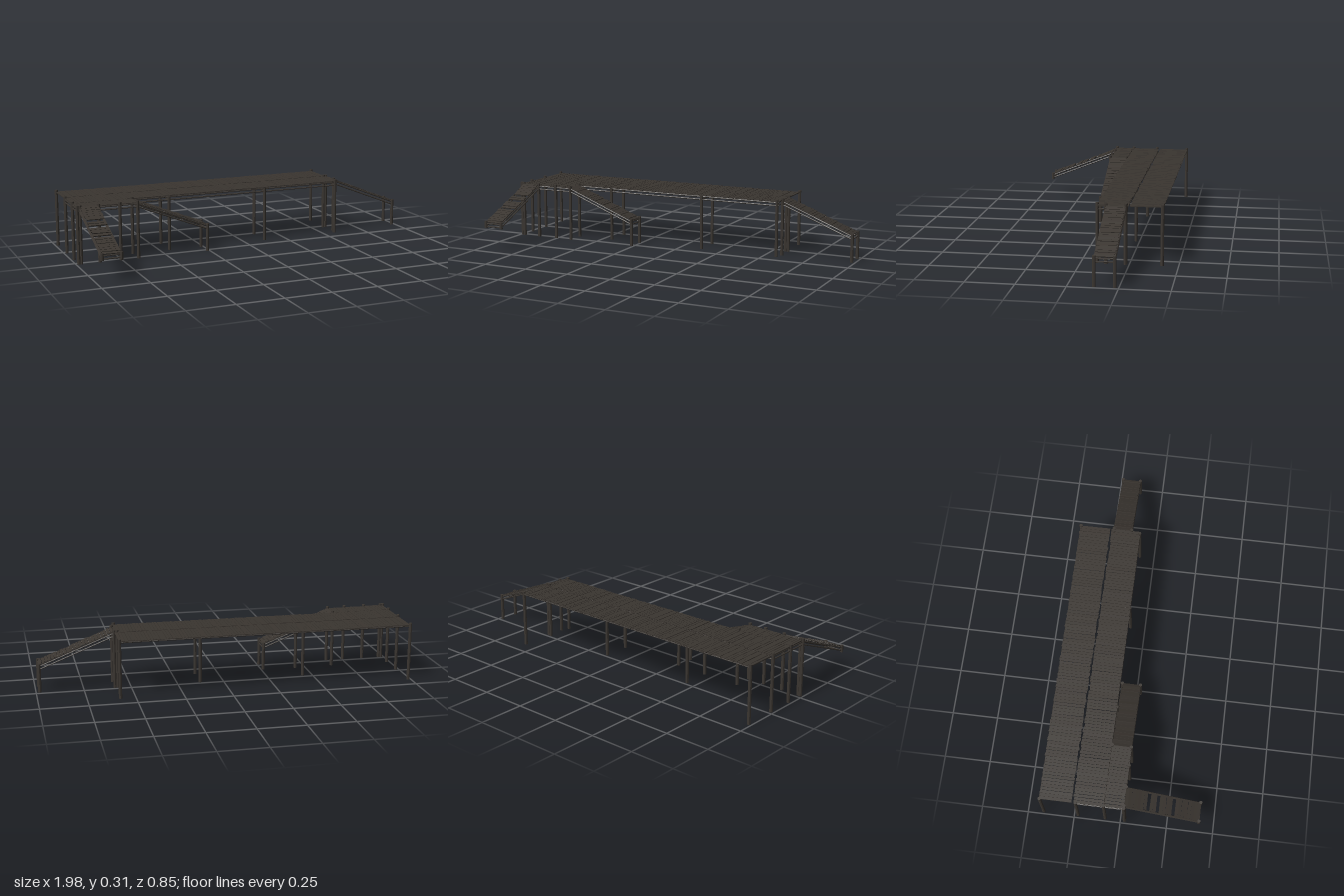
import * as THREE from 'three';

const wood = new THREE.MeshStandardMaterial({ color: 0x3a3530, flatShading: true });
const postGeo = new THREE.CylinderGeometry(0.009, 0.009, 1, 8);
const railGeo = new THREE.CylinderGeometry(0.004, 0.004, 1, 6);
const boxGeo = new THREE.BoxGeometry(1, 1, 1);
const UP = new THREE.Vector3(0, 1, 0);
const TOP = 0.315; // top of the tall posts

// Small seeded generator for the uneven boards
let seed = 7;
const rand = () => (seed = (seed * 16807) % 2147483647) / 2147483647;
const jitter = (a) => (rand() * 2 - 1) * a;

function post(group, name, x, z, y0 = 0, y1 = TOP) {
  const m = new THREE.Mesh(postGeo, wood);
  m.name = name;
  m.scale.y = y1 - y0;
  m.position.set(x, (y0 + y1) / 2, z);
  group.add(m);
}

// Round pole between two points
function rail(group, name, a, b) {
  const p = new THREE.Vector3(...a), q = new THREE.Vector3(...b);
  const m = new THREE.Mesh(railGeo, wood);
  m.name = name;
  m.scale.y = p.distanceTo(q);
  m.position.copy(p).lerp(q, 0.5);
  m.quaternion.setFromUnitVectors(UP, q.sub(p).normalize());
  group.add(m);
}

// An upper and a lower pole, one above the other
function doubleRail(group, name, a, b) {
  for (const dy of [0, -0.016]) {
    rail(group, name, [a[0], a[1] + dy, a[2]], [b[0], b[1] + dy, b[2]]);
  }
}

// Row of uneven boards along local x, lying across local z
function boards(length, width, pitch, rough, missing = 0) {
  const g = new THREE.Group();
  const n = Math.round(length / pitch);
  const step = length / n;
  for (let i = 0; i < n; i++) {
    if (rand() < missing) continue;
    const m = new THREE.Mesh(boxGeo, wood);
    m.name = 'board';
    m.scale.set(step * (0.9 + jitter(0.07)), 0.005, width + jitter(0.004));
    m.position.set((i + 0.5) * step, jitter(0.0008 + rough * 0.02), jitter(0.002));
    m.rotation.set(0, jitter(0.006 + rough * 0.3), jitter(rough));
    g.add(m);
  }
  return g;
}

function deck(name, x0, x1, z0, z1) {
  const g = boards(x1 - x0, z1 - z0, 0.0165, 0.01);
  g.name = name;
  g.position.set(x0, 0.303, (z0 + z1) / 2);
  return g;
}

// Sloping walkway running down local +x, centred on local z
function ramp(name, groundPosts, missing) {
  const g = new THREE.Group();
  g.name = name;
  const run = 0.395, y0 = 0.297, y1 = 0.14, half = 0.05;
  for (const z of [-half, half]) {
    doubleRail(g, 'rampRail', [0, y0, z], [run, y1, z]);
    post(g, 'rampTopPost', 0, z);
    post(g, 'rampEndPost', run, z, groundPosts ? 0 : 0.116, 0.154);
  }
  for (const dy of [0, -0.016]) {
    rail(g, 'rampEndRail', [run, y1 + dy, -half], [run, y1 + dy, half]);
    rail(g, 'rampTopRail', [0, y0 + dy, -half], [0, y0 + dy, half]);
  }
  const treads = boards(Math.hypot(run, y0 - y1), 0.098, 0.0175, 0.06, missing);
  treads.name = 'rampBoards';
  treads.position.y = y0 + 0.007;
  treads.rotation.z = -Math.atan2(y0 - y1, run);
  g.add(treads);
  return g;
}

export function createModel() {
  const model = new THREE.Group();
  model.name = 'boardwalk';

  // Decking
  model.add(deck('backDeck', -0.985, 0.583, -0.42, -0.25));
  model.add(deck('middleDeck', -0.985, 0.583, -0.241, -0.082));
  model.add(deck('frontLanding', -0.985, -0.655, -0.078, 0.022));

  // Main frame: pairs of posts joined by cross rails
  const frame = new THREE.Group();
  frame.name = 'frame';
  model.add(frame);
  for (const x of [-0.983, -0.445, 0.125, 0.57]) {
    for (const z of [-0.23, -0.083]) post(frame, 'deckPost', x, z, 0, x < -0.9 || x > 0.5 ? TOP : 0.3);
    doubleRail(frame, 'crossRail', [x, 0.297, -0.23], [x, 0.297, -0.083]);
  }
  for (const z of [-0.23, -0.083]) doubleRail(frame, 'longRail', [-0.983, 0.297, z], [0.58, 0.297, z]);

  // Back edge with corner posts only
  for (const x of [-0.985, 0.58]) post(frame, 'backCornerPost', x, -0.416);
  rail(frame, 'backRail', [-0.985, 0.298, -0.416], [0.58, 0.298, -0.416]);

  // Landing frame
  for (const x of [-0.985, -0.87, -0.755]) post(frame, 'landingPost', x, 0.022);
  for (const z of [0.022, -0.077]) doubleRail(frame, 'landingRail', [-0.985, 0.297, z], [-0.655, 0.297, z]);
  doubleRail(frame, 'landingSideRail', [-0.983, 0.297, -0.083], [-0.983, 0.297, 0.022]);

  // Ramps
  const frontRamp = ramp('frontRamp', false, 0.12);
  frontRamp.position.set(-0.921, 0, 0.022);
  frontRamp.rotation.y = -Math.PI / 2;
  const landingRamp = ramp('landingRamp', true, 0);
  landingRamp.position.set(-0.657, 0, -0.028);
  const endRamp = ramp('endRamp', true, 0.04);
  endRamp.position.set(0.585, 0, -0.18);
  model.add(frontRamp, landingRamp, endRamp);

  return model;
}
